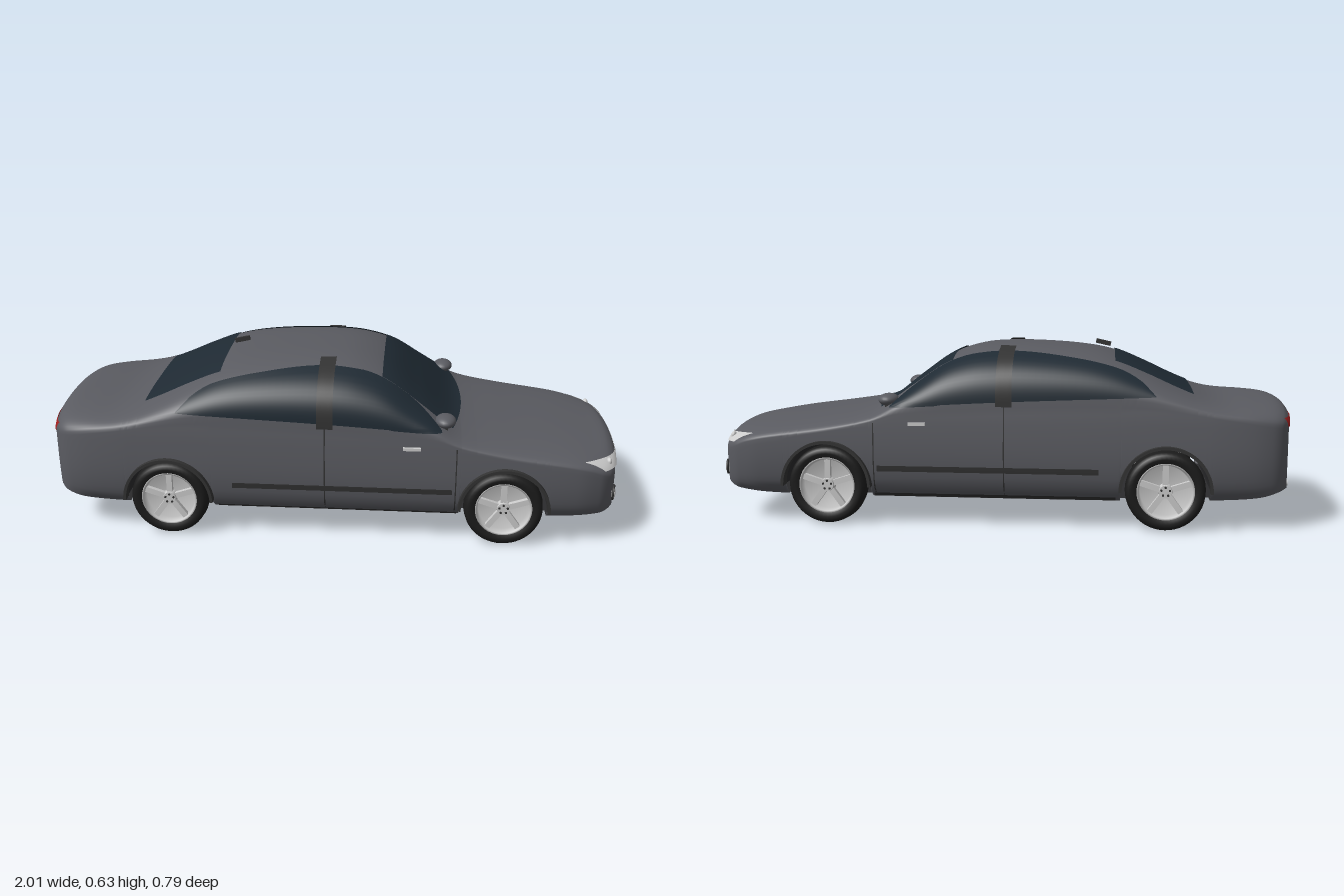
import * as THREE from 'three';

const paint = new THREE.MeshStandardMaterial({ color: 0x5a5b61, side: THREE.DoubleSide });
const mat = (color) => new THREE.MeshStandardMaterial({ color, side: THREE.DoubleSide });
const glass = mat(0x1f2a33), trim = mat(0x333333), rubber = mat(0x1c1c1c);
const metal = mat(0xcccccc), red = mat(0xa02020), under = mat(0x2b2b2d);

// Smooth interpolation through [x, value] points
const curve = (pts) => (x) => {
  const n = pts.length - 1;
  if (x <= pts[0][0]) return pts[0][1];
  if (x >= pts[n][0]) return pts[n][1];
  let i = 0;
  while (x > pts[i + 1][0]) i++;
  const slope = (k) => {
    const a = pts[Math.max(k - 1, 0)], b = pts[Math.min(k + 1, n)];
    return (b[1] - a[1]) / (b[0] - a[0]);
  };
  const [x0, y0] = pts[i], [x1, y1] = pts[i + 1], h = x1 - x0, t = (x - x0) / h;
  return y0 * (1 + 2 * t) * (1 - t) ** 2 + slope(i) * h * t * (1 - t) ** 2
    + y1 * t * t * (3 - 2 * t) + slope(i + 1) * h * t * t * (t - 1);
};

// Body profiles along the length (x)
const top = curve([[-1, 0.395], [-0.985, 0.413], [-0.95, 0.426], [-0.88, 0.432], [-0.76, 0.437], [-0.68, 0.455], [-0.6, 0.488],
  [-0.5, 0.536], [-0.4, 0.578], [-0.3, 0.6], [-0.15, 0.613], [0, 0.615], [0.1, 0.605], [0.2, 0.572], [0.3, 0.502],
  [0.4, 0.424], [0.45, 0.4], [0.6, 0.375], [0.8, 0.349], [0.92, 0.331], [0.97, 0.322], [0.99, 0.311], [1, 0.3]]);
const width = curve([[-1, 0.29], [-0.98, 0.327], [-0.94, 0.35], [-0.85, 0.367], [-0.7, 0.377], [0, 0.38],
  [0.6, 0.38], [0.85, 0.372], [0.95, 0.352], [0.985, 0.328], [1, 0.3]]);
const belt = curve([[-1, 0.35], [-0.75, 0.385], [-0.5, 0.42], [0, 0.415], [0.35, 0.39], [0.45, 0.36], [0.6, 0.33], [0.9, 0.285], [1, 0.25]]);
const sill = curve([[-1, 0.14], [-0.9, 0.115], [-0.7, 0.1], [-0.4, 0.092], [0.45, 0.092], [0.8, 0.096], [0.95, 0.11], [1, 0.13]]);
const flank = curve([[0.08, 0.8], [0.1, 0.86], [0.12, 0.93], [0.16, 0.975], [0.24, 1], [0.36, 0.99], [0.45, 0.965]]);
const power = curve([[-0.8, 2.5], [-0.4, 2.8], [0.3, 2.7], [0.5, 2.2]]);
const wheelX = [-0.567, 0.6], AXLE = 0.137, ARCH = 0.152;

// Half width of the body at a given length and height
function halfWidth(x, y) {
  const b = belt(x), w = width(x);
  if (y <= b) return w * flank(y);
  const f = (y - b) / (top(x) - b), n = power(x);
  return f >= 1 ? 0 : w * flank(b) * (1 - f ** n) ** (1 / n);
}
function topAt(x, z) {
  const b = belt(x), n = power(x), f = Math.min(1, Math.abs(z) / (width(x) * flank(b)));
  return b + (top(x) - b) * (1 - f ** n) ** (1 / n);
}
// Bows the nose and tail in plan
const bow = (x, z) => x - Math.sign(x) * 0.25 * z * z * THREE.MathUtils.smoothstep(Math.abs(x), 0.8, 1);
// Outermost x of the nose (s = 1) or tail (s = -1)
function endX(s, y, z) {
  let lo = 0.75, hi = 1;
  if (halfWidth(s, y) >= Math.abs(z)) return bow(s, z);
  for (let i = 0; i < 22; i++) {
    const m = (lo + hi) / 2;
    if (halfWidth(s * m, y) >= Math.abs(z)) lo = m; else hi = m;
  }
  return bow(s * lo, z);
}
function lowerEdge(x) {
  for (const cx of wheelX) {
    const d = Math.abs(x - cx);
    if (d < ARCH) return AXLE + Math.sqrt(ARCH * ARCH - d * d);
  }
  return sill(x);
}

// Surface grid from a function of u and v in 0..1
function patch(nu, nv, f) {
  const pos = [], idx = [];
  for (let i = 0; i <= nu; i++) for (let j = 0; j <= nv; j++) {
    pos.push(...f(i / nu, j / nv));
    if (i < nu && j < nv) {
      const a = i * (nv + 1) + j, b = a + nv + 1;
      idx.push(a, b, b + 1, a, b + 1, a + 1);
    }
  }
  const g = new THREE.BufferGeometry();
  g.setAttribute('position', new THREE.Float32BufferAttribute(pos, 3));
  g.setIndex(idx);
  g.computeVertexNormals();
  return g;
}

export function createModel() {
  const car = new THREE.Group();
  car.name = 'car';
  const add = (name, geo, material, p = [0, 0, 0], parent = car) => {
    const m = new THREE.Mesh(geo, material);
    m.name = name;
    m.position.set(...p);
    parent.add(m);
    return m;
  };
  const mix = THREE.MathUtils.lerp;

  // Body shell, with stations packed at the ends and arch edges
  const xs = [];
  for (let i = 0; i <= 150; i++) xs.push(Math.sin((mix(-1, 1, i / 150) * Math.PI) / 2));
  for (const cx of wheelX) for (const s of [-1, 1]) for (const d of [0.1, 0.13, 0.145, 0.1505, 0.1519, 0.1521]) xs.push(cx + s * d);
  xs.sort((a, b) => a - b);
  const LOW = 12, UP = 16, HALF = LOW + UP;
  const sectionPoint = (x, j) => {
    const b = belt(x), e = lowerEdge(x);
    if (j <= LOW) { const y = mix(e, b, j / LOW); return [y, halfWidth(x, y)]; }
    const t = ((j - LOW) / UP) * Math.PI / 2, k = 2 / power(x);
    return [b + (top(x) - b) * Math.sin(t) ** k, j === HALF ? 0 : width(x) * flank(b) * Math.cos(t) ** k];
  };
  add('bodyShell', patch(xs.length - 1, 2 * HALF, (u, v) => {
    const x = xs[Math.round(u * (xs.length - 1))], j = Math.round(v * 2 * HALF);
    const [y, z] = sectionPoint(x, Math.min(j, 2 * HALF - j));
    return [bow(x, z), y, j > HALF ? -z : z];
  }), paint);
  for (const s of [1, -1]) add(s > 0 ? 'nosePanel' : 'tailPanel', patch(16, HALF, (u, v) => {
    const [y, z] = sectionPoint(s, Math.round(v * HALF)), zz = z * (1 - 2 * u) * s;
    return [bow(s, zz), y, zz];
  }), paint);

  // Floor, notched for the wheels
  add('floor', patch(xs.length - 1, 8, (u, v) => {
    const x = xs[Math.round(u * (xs.length - 1))];
    const inArch = wheelX.some((c) => Math.abs(x - c) < ARCH);
    const z = mix(-1, 1, v) * (inArch ? 0.28 : halfWidth(x, sill(x)));
    return [bow(x, z), sill(x), z];
  }), under);

  // Windscreen and rear window follow the roof
  const roofPatch = (name, x0, x1, z0, z1, curveBack) => add(name, patch(24, 24, (u, v) => {
    const z = mix(z0, z1, u) * (1 - 2 * v), x = mix(x0, x1, u) - curveBack * u * z * z;
    return [x + Math.sign(x) * 0.002, topAt(x, z) + 0.004, z];
  }), glass);
  roofPatch('windscreen', 0.17, 0.452, 0.245, 0.3, 0.4);
  roofPatch('rearWindow', -0.39, -0.66, 0.235, 0.25, 0);

  // Panels that follow the body side
  const sidePatch = (name, x0, x1, lo, hi, off, material, nu = 40, nv = 12) => {
    for (const s of [1, -1]) add(name, patch(nu, nv, (u, v) => {
      const x = mix(x0, x1, s > 0 ? u : 1 - u), y = mix(lo(x), hi(x), v);
      return [x, y + (y > 0.42 ? off * 0.7 : 0), s * (halfWidth(x, y) + off)];
    }), material);
  };
  const flat = (y) => () => y;
  sidePatch('sideWindow', -0.53, 0.38, curve([[-0.53, 0.455], [0, 0.432], [0.38, 0.41]]),
    curve([[-0.53, 0.457], [-0.48, 0.505], [-0.4, 0.545], [-0.25, 0.577], [-0.05, 0.596], [0.1, 0.585], [0.2, 0.55], [0.3, 0.482], [0.38, 0.414]]), 0.004, glass);
  sidePatch('centrePillar', -0.045, 0.01, flat(0.42), flat(0.607), 0.009, trim, 4, 16);
  sidePatch('rubStrip', -0.34, 0.42, flat(0.192), flat(0.212), 0.006, trim);
  sidePatch('sillStrip', -0.4, 0.44, flat(0.093), flat(0.108), 0.004, trim);
  for (const x of [-0.02, 0.43]) sidePatch('doorGap', x, x + 0.004, flat(0.11), flat(x > 0 ? 0.36 : 0.42), 0.002, trim, 1, 12);

  // Panels that follow the nose (s = 1) or tail (s = -1)
  const endPatch = (name, s, z0, z1, lo, hi, off, material) => add(name, patch(24, 6, (u, v) => {
    const z = s * mix(z1, z0, u), a = (z * s - z0) / (z1 - z0), y = mix(lo(a), hi(a), v);
    return [endX(s, y, z) + s * off, y, z];
  }), material);
  endPatch('grille', 1, -0.16, 0.16, flat(0.24), flat(0.292), 0.003, trim);
  for (let i = 0; i < 4; i++) endPatch('grilleBar', 1, -0.15, 0.15, flat(0.245 + i * 0.0135), flat(0.249 + i * 0.0135), 0.006, metal);
  endPatch('lowerIntake', 1, -0.225, 0.225, flat(0.165), (a) => 0.168 + 0.052 * Math.min(1, 6 * Math.min(a, 1 - a)), 0.003, trim);
  endPatch('frontPlate', 1, -0.115, 0.115, flat(0.145), flat(0.175), 0.004, trim);
  endPatch('tailStrip', -1, -0.13, 0.13, flat(0.362), flat(0.374), 0.004, metal);
  endPatch('rearPlate', -1, -0.1, 0.1, flat(0.235), flat(0.285), 0.004, trim);
  for (const s of [1, -1]) {
    const lo = (a) => mix(0.268, 0.28, s > 0 ? a : 1 - a), hi = (a) => mix(0.294, 0.312, s > 0 ? a : 1 - a);
    const span = (a, b) => (s > 0 ? [a, b] : [-b, -a]);
    endPatch('headlight', 1, ...span(0.165, 0.342), lo, hi, 0.005, metal);
    endPatch('tailLight', -1, ...span(0.13, 0.3), flat(0.355), flat(0.385), 0.004, red);
    const lens = add('headlightLens', new THREE.SphereGeometry(0.014, 16, 10), metal, [endX(1, 0.294, 0.285), 0.294, s * 0.285]);
    lens.scale.x = 0.7;
    const fogX = endX(1, 0.182, 0.295);
    add('fogLight', new THREE.SphereGeometry(0.022, 20, 12), metal, [fogX, 0.182, s * 0.295]).scale.x = 0.4;
    add('fogLightRing', new THREE.TorusGeometry(0.024, 0.004, 8, 24), trim, [fogX + 0.002, 0.182, s * 0.295]).rotation.y = Math.PI / 2 - s * 0.25;

    // Door mirror and handle
    add('mirror', new THREE.SphereGeometry(1, 24, 16), paint, [0.392, 0.431, s * 0.295]).scale.set(0.036, 0.022, 0.048);
    add('mirrorStalk', new THREE.BoxGeometry(0.03, 0.025, 0.03), trim, [0.385, 0.41, s * 0.31]);
    add('doorHandle', new THREE.BoxGeometry(0.06, 0.01, 0.012), metal, [0.28, 0.358, s * (halfWidth(0.28, 0.358) + 0.004)]);
  }

  // Wheel wells, arch trims and wheels
  const arch = new THREE.Shape();
  arch.absarc(0, 0, 0.158, 0, Math.PI, false);
  arch.absarc(0, 0, 0.148, Math.PI, 0, true);
  const archGeo = new THREE.ExtrudeGeometry(arch, { depth: 0.04, bevelEnabled: false, curveSegments: 32 });
  const v2 = (pts) => pts.map(([r, y]) => new THREE.Vector2(r, y));
  const tyreGeo = new THREE.LatheGeometry(v2([[0.098, -0.036], [0.112, -0.042], [0.126, -0.039], [0.134, -0.028], [0.137, 0],
    [0.134, 0.028], [0.126, 0.039], [0.112, 0.042], [0.098, 0.036]]), 48);
  const rimGeo = new THREE.LatheGeometry(v2([[0, -0.012], [0.085, -0.012], [0.092, -0.036], [0.1, -0.036], [0.1, 0.036], [0.092, 0.036], [0.086, 0.008], [0, 0.008]]), 48);
  for (const cx of wheelX) {
    const well = add('wheelWell', new THREE.CylinderGeometry(ARCH, ARCH, 0.72, 32, 1, true, Math.PI / 2, Math.PI), under, [cx, AXLE, 0]);
    well.rotation.x = Math.PI / 2;
    for (const s of [1, -1]) {
      add('archTrim', archGeo, trim, [cx, AXLE, s > 0 ? 0.357 : -0.397]);
      const wheel = new THREE.Group();
      wheel.name = 'wheel';
      wheel.position.set(cx, AXLE, s * 0.336);
      if (s < 0) wheel.rotation.y = Math.PI;
      car.add(wheel);
      add('tyre', tyreGeo, rubber, [0, 0, 0], wheel).rotation.x = Math.PI / 2;
      add('rim', rimGeo, metal, [0, 0, 0], wheel).rotation.x = Math.PI / 2;
      add('hub', new THREE.CylinderGeometry(0.022, 0.026, 0.026, 20), metal, [0, 0, 0.02], wheel).rotation.x = Math.PI / 2;
      for (let i = 0; i < 5; i++) {
        const a = (i / 5) * Math.PI * 2 + Math.PI / 2;
        add('spoke', new THREE.BoxGeometry(0.075, 0.02, 0.016), metal, [0.054 * Math.cos(a), 0.054 * Math.sin(a), 0.018], wheel).rotation.z = a;
        add('wheelBolt', new THREE.CylinderGeometry(0.004, 0.004, 0.004, 8), trim, [0.015 * Math.cos(a), 0.015 * Math.sin(a), 0.034], wheel).rotation.x = Math.PI / 2;
      }
    }
  }

  // Roof aerial and exhaust
  add('aerial', new THREE.BoxGeometry(0.055, 0.016, 0.01), trim, [-0.35, 0.613, 0]).rotation.z = 0.22;
  add('exhaust', new THREE.CylinderGeometry(0.011, 0.011, 0.08, 16, 1, true), metal, [-0.96, 0.138, -0.18]).rotation.z = Math.PI / 2;
  return car;
}
